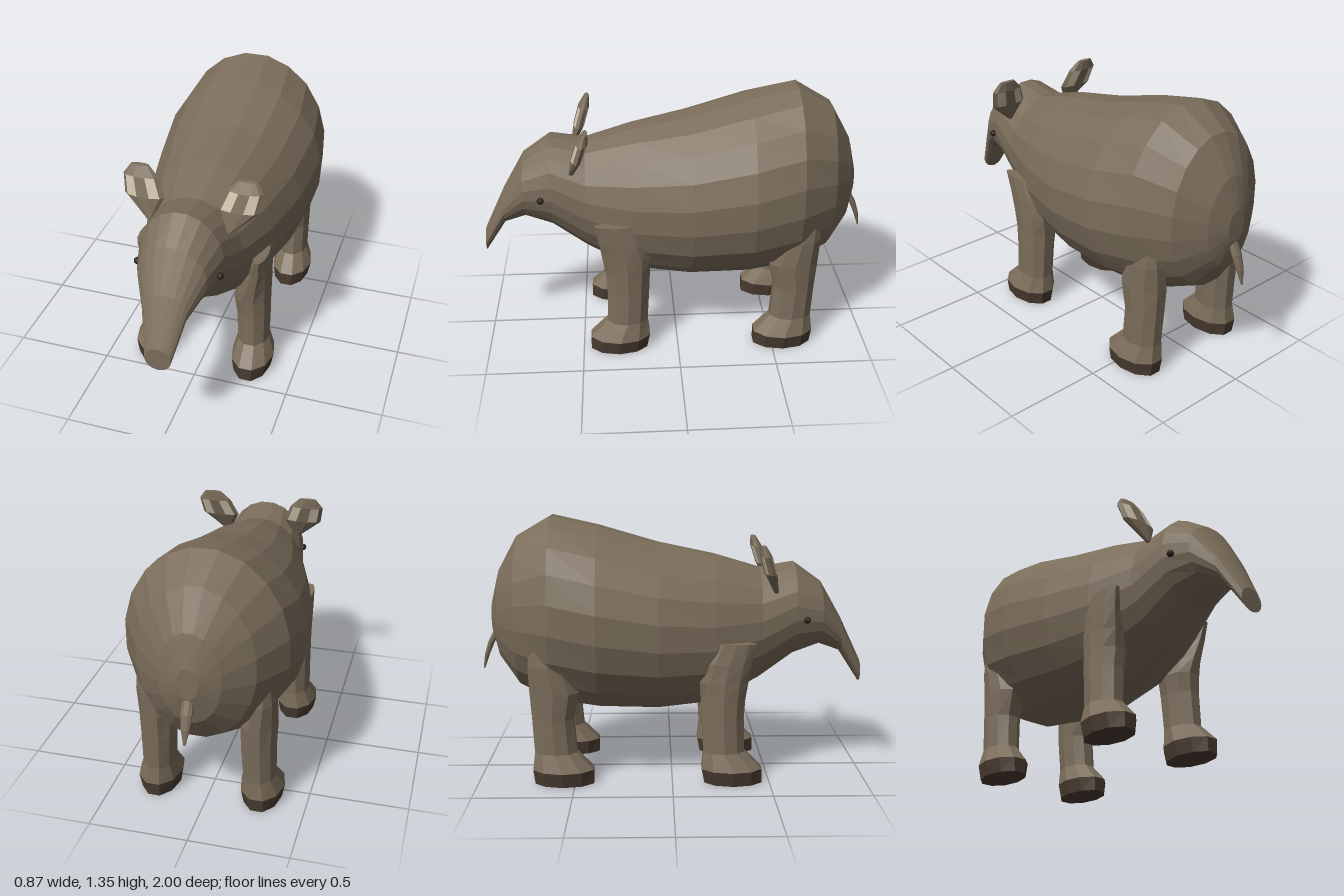
import * as THREE from 'three';

const material = (name, color) => {
  const m = new THREE.MeshStandardMaterial({ color });
  m.name = name;
  return m;
};

// Faceted skin through elliptical rings { c: centre, u, v: half axes }, closed at both ends.
// pick(segment, facet) gives the material index of each facet.
function loft(rings, n, pick = () => 0) {
  const pts = rings.map(({ c, u, v }) =>
    Array.from({ length: n }, (_, j) => {
      const a = ((2 * j + 1) * Math.PI) / n;
      return c.clone().addScaledVector(u, Math.cos(a)).addScaledVector(v, Math.sin(a));
    }));
  const last = rings.length - 1;
  const buckets = [[], []];
  const add = (k, ...ps) => ps.forEach((p) => buckets[k].push(p.x, p.y, p.z));
  for (let j = 0; j < n; j++) {
    const k = (j + 1) % n;
    for (let i = 0; i < last; i++) {
      const [a, b, c, d] = [pts[i][j], pts[i][k], pts[i + 1][k], pts[i + 1][j]];
      add(pick(i, j), a, b, c, a, c, d);
    }
    add(0, rings[0].c, pts[0][k], pts[0][j]);
    add(0, rings[last].c, pts[last][j], pts[last][k]);
  }
  const g = new THREE.BufferGeometry();
  g.setAttribute('position', new THREE.Float32BufferAttribute(buckets.flat(), 3));
  g.addGroup(0, buckets[0].length / 3, 0);
  if (buckets[1].length) g.addGroup(buckets[0].length / 3, buckets[1].length / 3, 1);
  g.computeVertexNormals();
  return g;
}

const V = (x, y, z) => new THREE.Vector3(x, y, z);

// Horizontal ring for upright parts
const flatRing = (x, y, z, hx, hz) => ({ c: V(x, y, z), u: V(0, 0, hz), v: V(hx, 0, 0) });

// Leg ring from its extents: [y, inner x, outer x, back z, front z]
const legRing = (side) => ([y, x0, x1, z0, z1]) =>
  flatRing((side * (x0 + x1)) / 2, y, (z0 + z1) / 2, (x1 - x0) / 2, (z1 - z0) / 2 / 0.951);

export function createModel() {
  const hide = material('brown hide', 0x7b6d5b);
  const hoofMat = material('dark hoof', 0x4a3c31);
  const earMat = material('pale ear', 0xcbbfa8);
  const eyeMat = material('dark eye', 0x2a211b);

  const model = new THREE.Group();
  const add = (name, geometry, mat) => {
    const mesh = new THREE.Mesh(geometry, mat);
    mesh.name = name;
    model.add(mesh);
    return mesh;
  };

  // Body, head and snout: [z, bottom y, top y, half width]
  const bodyRings = [
    [-0.94, 0.75, 0.91, 0.05],
    [-0.9, 0.61, 1.07, 0.15],
    [-0.8, 0.47, 1.25, 0.285],
    [-0.62, 0.385, 1.355, 0.4],
    [-0.38, 0.35, 1.3, 0.435],
    [-0.07, 0.34, 1.21, 0.4],
    [0.22, 0.37, 1.15, 0.33],
    [0.46, 0.5, 1.08, 0.25],
    [0.64, 0.63, 1.11, 0.21],
    [0.78, 0.68, 1.01, 0.17],
    [0.89, 0.64, 0.82, 0.11],
    [1.0, 0.47, 0.59, 0.065],
  ].map(([z, y0, y1, w]) => ({
    c: V(0, (y0 + y1) / 2, z),
    u: V(w / 0.988, 0, 0),
    v: V(0, (y1 - y0) / 2 / 0.988, 0),
  }));
  add('body', loft(bodyRings, 20), hide);

  // Leg profiles; the first two rings are the hoof
  const frontLeg = [
    [0, 0.17, 0.365, 0.165, 0.46],
    [0.075, 0.155, 0.38, 0.15, 0.46],
    [0.165, 0.175, 0.345, 0.16, 0.37],
    [0.34, 0.165, 0.345, 0.15, 0.365],
    [0.44, 0.15, 0.345, 0.145, 0.372],
    [0.53, 0.185, 0.345, 0.14, 0.385],
    [0.63, 0.235, 0.345, 0.165, 0.4],
    [0.735, 0.27, 0.34, 0.22, 0.42],
  ];
  const hindLeg = [
    [0, 0.17, 0.365, -0.705, -0.405],
    [0.075, 0.155, 0.38, -0.715, -0.405],
    [0.165, 0.175, 0.345, -0.705, -0.49],
    [0.34, 0.165, 0.345, -0.715, -0.505],
    [0.48, 0.16, 0.35, -0.725, -0.475],
    [0.62, 0.2, 0.35, -0.73, -0.53],
    [0.72, 0.24, 0.335, -0.72, -0.59],
  ];

  for (const side of [1, -1]) {
    const label = side > 0 ? 'left' : 'right';
    for (const [name, rows] of [['Front', frontLeg], ['Hind', hindLeg]]) {
      const rings = rows.map(legRing(side));
      add(`${label}${name}Hoof`, loft(rings.slice(0, 2), 10), hoofMat);
      add(`${label}${name}Leg`, loft(rings.slice(1), 10), hide);
    }

    // Ear: flattened blade with pale strips beside its middle
    const earRings = [
      flatRing(side * 0.2, 0.975, 0.53, 0.012, 0.012),
      flatRing(side * 0.232, 1.08, 0.495, 0.1, 0.03),
      flatRing(side * 0.258, 1.17, 0.467, 0.088, 0.03),
      flatRing(side * 0.265, 1.22, 0.452, 0.046, 0.014),
    ];
    const pale = (i, j) => (i === 1 && [0, 3, 5, 8].includes(j) ? 1 : 0);
    add(`${label}Ear`, loft(earRings, 10, pale), [hide, earMat]);

    // Eye
    add(`${label}Eye`, new THREE.SphereGeometry(0.018, 8, 6), eyeMat)
      .position.set(side * 0.205, 0.835, 0.69);
  }

  // Tail, hanging behind, built from tip to root
  const tailRings = [
    flatRing(0, 0.545, -0.996, 0.006, 0.004),
    flatRing(0, 0.62, -0.978, 0.022, 0.013),
    flatRing(0, 0.69, -0.952, 0.029, 0.018),
    flatRing(0, 0.75, -0.92, 0.027, 0.02),
  ];
  add('tail', loft(tailRings, 8), hide);

  return model;
}
